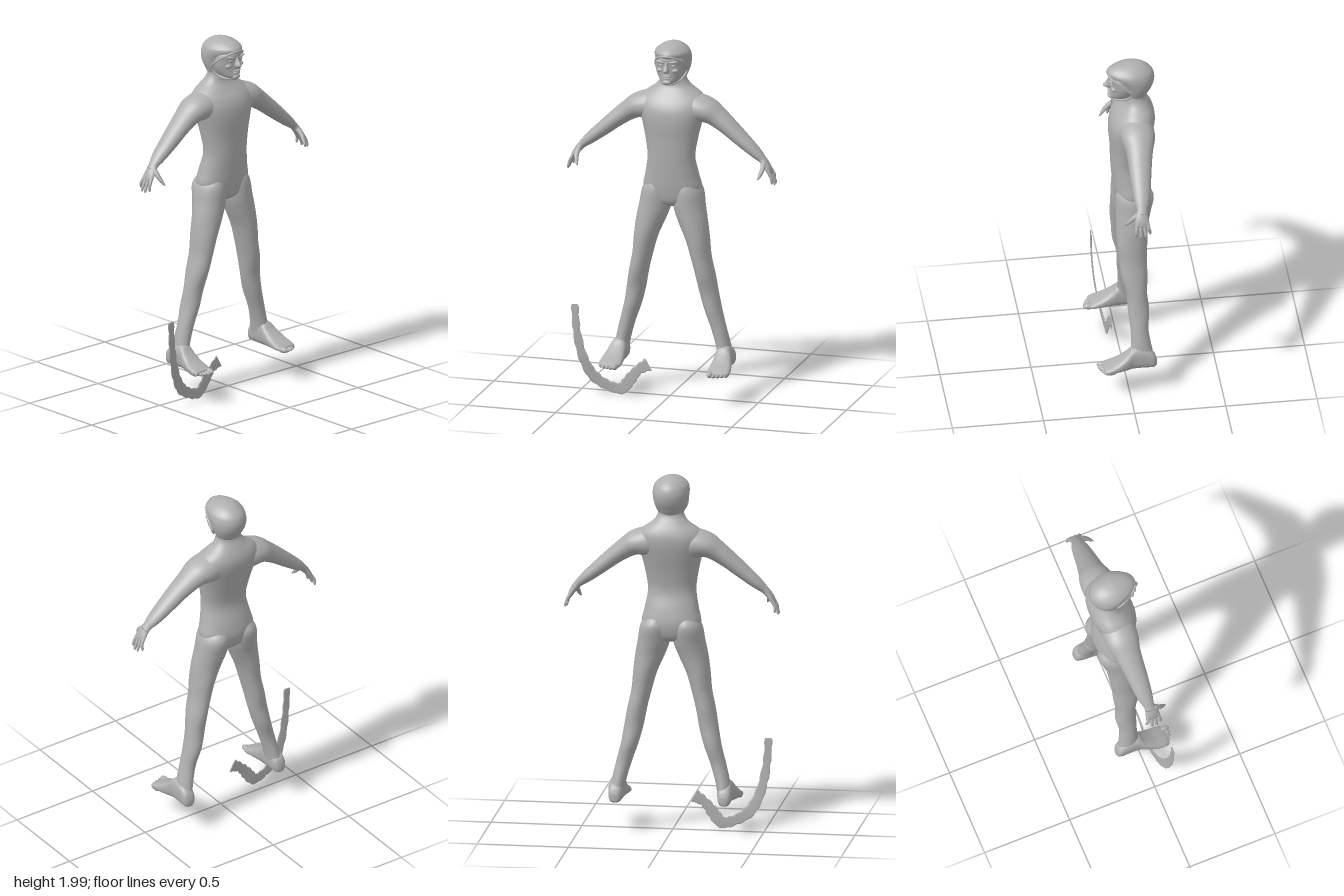
import * as THREE from 'three';

const V = (x, y, z) => new THREE.Vector3(x, y, z);
const skin = new THREE.MeshStandardMaterial({ color: 0xb0b0b0 });
skin.name = 'plain grey';

// Smooth closed skin through sections {c, u, v}: centre and two half-axes
function loft(sections, { steps = 5, seg = 28, power = 2, taper = 0 } = {}) {
  const curve = k => new THREE.CatmullRomCurve3(sections.map(s => s[k]), false, 'catmullrom', 0.5);
  const [C, U, W] = ['c', 'u', 'v'].map(curve);
  const rows = (sections.length - 1) * steps;
  const pos = [], idx = [];
  const bend = n => Math.sign(n) * Math.abs(n) ** (2 / power);
  for (let i = 0; i <= rows; i++) {
    const t = i / rows, c = C.getPoint(t), u = U.getPoint(t), w = W.getPoint(t);
    for (let j = 0; j < seg; j++) {
      const a = j / seg * Math.PI * 2, sn = bend(Math.sin(a));
      const cs = bend(Math.cos(a)) * (1 - taper * Math.max(0, sn));
      pos.push(...c.clone().addScaledVector(u, cs).addScaledVector(w, sn).toArray());
    }
  }
  pos.push(...C.getPoint(0).toArray(), ...C.getPoint(1).toArray());
  const s0 = sections[0], s1 = sections[1];
  const flip = s0.u.clone().cross(s0.v).dot(s1.c.clone().sub(s0.c)) < 0;
  const tri = (a, b, c) => (flip ? idx.push(a, c, b) : idx.push(a, b, c));
  const pole = (rows + 1) * seg;
  for (let j = 0; j < seg; j++) {
    const k = (j + 1) % seg;
    for (let i = 0; i < rows; i++) {
      const a = i * seg + j, b = i * seg + k;
      tri(a, b, b + seg);
      tri(a, b + seg, a + seg);
    }
    tri(pole, k, j);
    tri(pole + 1, rows * seg + j, rows * seg + k);
  }
  const g = new THREE.BufferGeometry();
  g.setAttribute('position', new THREE.Float32BufferAttribute(pos, 3));
  g.setIndex(idx);
  g.computeVertexNormals();
  return g;
}

// Upright sections: [y, x, half width, front z, back z]
const stack = (rows, s = 1) => rows.map(([y, x, rx, f, b]) =>
  ({ c: V(s * x, y, (f + b) / 2), u: V(rx, 0, 0), v: V(0, 0, (f - b) / 2) }));
// Lengthwise sections: [z, x, half width, top y, bottom y]
const along = (rows, s = 1) => rows.map(([z, x, rx, t, b]) =>
  ({ c: V(s * x, (t + b) / 2, z), u: V(rx, 0, 0), v: V(0, (t - b) / 2, 0) }));
// Limb sections along a path: [x, y, z, thickness, depth]
const limb = (rows, s = 1) => {
  const p = rows.map(r => V(s * r[0], r[1], r[2]));
  return rows.map((r, i) => {
    const t = p[Math.min(i + 1, p.length - 1)].clone().sub(p[Math.max(i - 1, 0)]).normalize();
    const u = V(-t.y, t.x, 0).normalize();
    return { c: p[i], u: u.clone().multiplyScalar(r[3]), v: t.clone().cross(u).multiplyScalar(r[4]) };
  });
};

export function createModel() {
  const model = new THREE.Group();
  const add = (name, geometry, parent = model) => {
    const m = new THREE.Mesh(geometry, skin);
    m.name = name;
    parent.add(m);
    return m;
  };
  const blob = (name, x, y, z, rx, ry, rz, parent) => {
    const m = add(name, new THREE.SphereGeometry(1, 18, 12), parent);
    m.position.set(x, y, z);
    m.scale.set(rx, ry, rz);
    return m;
  };

  // Torso and neck
  add('torso', loft(stack([
    [1.08, 0, 0.05, 0.0, -0.10], [1.11, 0, 0.12, 0.035, -0.135], [1.18, 0, 0.162, 0.05, -0.152],
    [1.26, 0, 0.148, 0.058, -0.14], [1.36, 0, 0.132, 0.065, -0.115], [1.46, 0, 0.145, 0.068, -0.13],
    [1.55, 0, 0.165, 0.075, -0.155], [1.62, 0, 0.185, 0.07, -0.172], [1.67, 0, 0.185, 0.05, -0.175],
    [1.71, 0, 0.155, 0.02, -0.165], [1.75, 0, 0.10, -0.008, -0.145], [1.79, 0, 0.073, -0.015, -0.125],
    [1.84, 0, 0.07, -0.015, -0.125],
  ]), { seg: 40, power: 2.2 }));

  for (const s of [1, -1]) {
    const side = s > 0 ? 'left' : 'right';
    // Leg
    add(side + 'Leg', loft(stack([
      [1.23, 0.08, 0.045, 0.03, -0.12], [1.17, 0.088, 0.08, 0.048, -0.16], [1.08, 0.097, 0.088, 0.05, -0.143],
      [1.0, 0.118, 0.082, 0.05, -0.125], [0.9, 0.146, 0.066, 0.049, -0.118], [0.8, 0.165, 0.056, 0.04, -0.112],
      [0.7, 0.188, 0.054, 0.03, -0.113], [0.6, 0.206, 0.053, 0.006, -0.108], [0.5, 0.228, 0.048, 0, -0.117],
      [0.4, 0.258, 0.043, -0.01, -0.108], [0.3, 0.284, 0.04, -0.01, -0.122], [0.22, 0.298, 0.04, 0.0, -0.138],
    ], s)));
    // Foot and toes
    add(side + 'Foot', loft(along([
      [-0.148, 0.3, 0.018, 0.225, 0.185], [-0.13, 0.3, 0.035, 0.265, 0.175], [-0.08, 0.297, 0.041, 0.3, 0.174],
      [-0.02, 0.297, 0.044, 0.305, 0.174], [0.02, 0.302, 0.052, 0.27, 0.174], [0.07, 0.306, 0.06, 0.235, 0.174],
      [0.12, 0.307, 0.062, 0.212, 0.174], [0.145, 0.306, 0.05, 0.2, 0.176],
    ], s), { power: 2.6 }));
    for (let i = 0; i < 5; i++) {
      const r = i ? 0.0125 : 0.017;
      blob(side + 'Toe', s * (0.27 + i * 0.021), 0.172 + r, 0.144 - i * i * 0.002, r, r, 0.034);
    }
    // Arm
    add(side + 'Arm', loft(limb([
      [0.07, 1.625, -0.06, 0.085, 0.08], [0.13, 1.63, -0.062, 0.083, 0.095], [0.2, 1.62, -0.062, 0.068, 0.09],
      [0.254, 1.587, -0.06, 0.056, 0.074], [0.317, 1.54, -0.055, 0.048, 0.064], [0.383, 1.485, -0.05, 0.042, 0.056],
      [0.465, 1.417, -0.045, 0.032, 0.044], [0.51, 1.378, -0.04, 0.022, 0.03], [0.53, 1.355, -0.038, 0.02, 0.03],
    ], s)));
    // Hand
    const hand = new THREE.Group();
    hand.name = side + 'Hand';
    model.add(hand);
    add('palm', loft(limb([
      [0.505, 1.382, -0.04, 0.02, 0.027], [0.53, 1.355, -0.036, 0.019, 0.033],
      [0.55, 1.325, -0.034, 0.016, 0.039], [0.562, 1.3, -0.034, 0.011, 0.036],
    ], s)), hand);
    const fingers = [[-0.062, -0.075, 0.57, 1.255], [-0.044, -0.05, 0.584, 1.243],
      [-0.025, -0.024, 0.585, 1.24], [-0.006, 0.002, 0.577, 1.25]];
    for (const [z0, z1, x, y] of fingers) {
      add('finger', loft(limb([
        [0.55, 1.325, z0, 0.01, 0.01], [0.57, 1.29, (z0 + z1) / 2, 0.009, 0.0095],
        [x, y + 0.012, z1, 0.007, 0.008], [x + 0.001, y, z1, 0.002, 0.003],
      ], s), { seg: 12 }), hand);
    }
    add('thumb', loft(limb([
      [0.525, 1.36, -0.02, 0.016, 0.016], [0.527, 1.335, 0.012, 0.014, 0.013],
      [0.52, 1.305, 0.038, 0.01, 0.01], [0.512, 1.285, 0.055, 0.004, 0.004],
    ], s), { seg: 12 }), hand);
  }

  // Head: close hood with an open face
  const head = new THREE.Group();
  head.name = 'head';
  model.add(head);
  add('hood', loft(stack([
    [1.785, 0, 0.062, -0.01, -0.12], [1.82, 0, 0.079, 0.0, -0.142], [1.86, 0, 0.093, 0.02, -0.165],
    [1.9, 0, 0.1, 0.045, -0.175], [1.93, 0, 0.1, 0.075, -0.172], [1.955, 0, 0.092, 0.082, -0.16],
    [1.98, 0, 0.066, 0.05, -0.13], [1.994, 0, 0.037, 0.005, -0.095], [2.0, 0, 0.006, -0.035, -0.05],
  ]), { seg: 36, taper: 0.15 }), head);
  add('face', loft(stack([
    [1.782, 0, 0.03, 0.055, -0.03], [1.798, 0, 0.05, 0.073, -0.06], [1.825, 0, 0.07, 0.07, -0.08],
    [1.86, 0, 0.082, 0.07, -0.08], [1.89, 0, 0.084, 0.071, -0.07], [1.92, 0, 0.078, 0.077, -0.05],
    [1.945, 0, 0.055, 0.07, -0.03],
  ]), { seg: 36, taper: 0.08 }), head);
  const rim = [[0, 1.945, 0.082], [0.05, 1.932, 0.062], [0.083, 1.885, 0.0], [0.085, 1.842, -0.045],
    [0.06, 1.8, -0.02], [0.035, 1.785, 0.035]];
  const loop = [...rim, [0, 1.782, 0.055], ...rim.slice(1).reverse().map(([x, y, z]) => [-x, y, z])];
  add('hoodRim', new THREE.TubeGeometry(
    new THREE.CatmullRomCurve3(loop.map(p => V(...p)), true), 80, 0.006, 8, true), head);
  // Facial features
  add('nose', loft(stack([
    [1.915, 0, 0.008, 0.078, 0.05], [1.89, 0, 0.011, 0.09, 0.05], [1.867, 0, 0.017, 0.106, 0.05],
    [1.853, 0, 0.015, 0.09, 0.05],
  ]), { seg: 16 }), head);
  for (const s of [1, -1]) {
    blob('brow', s * 0.033, 1.912, 0.066, 0.028, 0.007, 0.013, head).rotation.z = s * 0.2;
    blob('eye', s * 0.033, 1.892, 0.061, 0.015, 0.007, 0.008, head);
    blob('cheek', s * 0.04, 1.862, 0.05, 0.022, 0.014, 0.017, head);
  }
  blob('upperLip', 0, 1.833, 0.069, 0.026, 0.006, 0.012, head);
  blob('lowerLip', 0, 1.821, 0.069, 0.022, 0.006, 0.01, head);
  blob('chin', 0, 1.797, 0.066, 0.025, 0.014, 0.014, head);

  // Loose wavy ribbon beside the right foot: [x, y, z, half width]
  const strip = [[-0.51, 0.51, 0.102, 0.02], [-0.5, 0.365, 0.1, 0.022], [-0.465, 0.205, 0.088, 0.027],
    [-0.41, 0.105, 0.072, 0.032], [-0.335, 0.057, 0.06, 0.028], [-0.26, 0.043, 0.053, 0.032],
    [-0.21, 0.1, 0.052, 0.033], [-0.165, 0.155, 0.05, 0.026], [-0.11, 0.188, 0.046, 0.037]];
  const line = new THREE.CatmullRomCurve3(strip.map(p => V(p[0], p[1], p[2])));
  const ribbon = [];
  for (let i = 0; i <= 40; i++) {
    const k = i / 40 * (strip.length - 1), a = Math.min(Math.floor(k), strip.length - 2);
    const p = line.getPoint(i / 40);
    const w = THREE.MathUtils.lerp(strip[a][3], strip[a + 1][3], k - a) + 0.003 * Math.sin(i * 2.1);
    ribbon.push([p.x, p.y, p.z, w, 0.003]);
  }
  add('ribbon', loft(limb(ribbon), { steps: 2, seg: 12, power: 4 }));
  return model;
}
